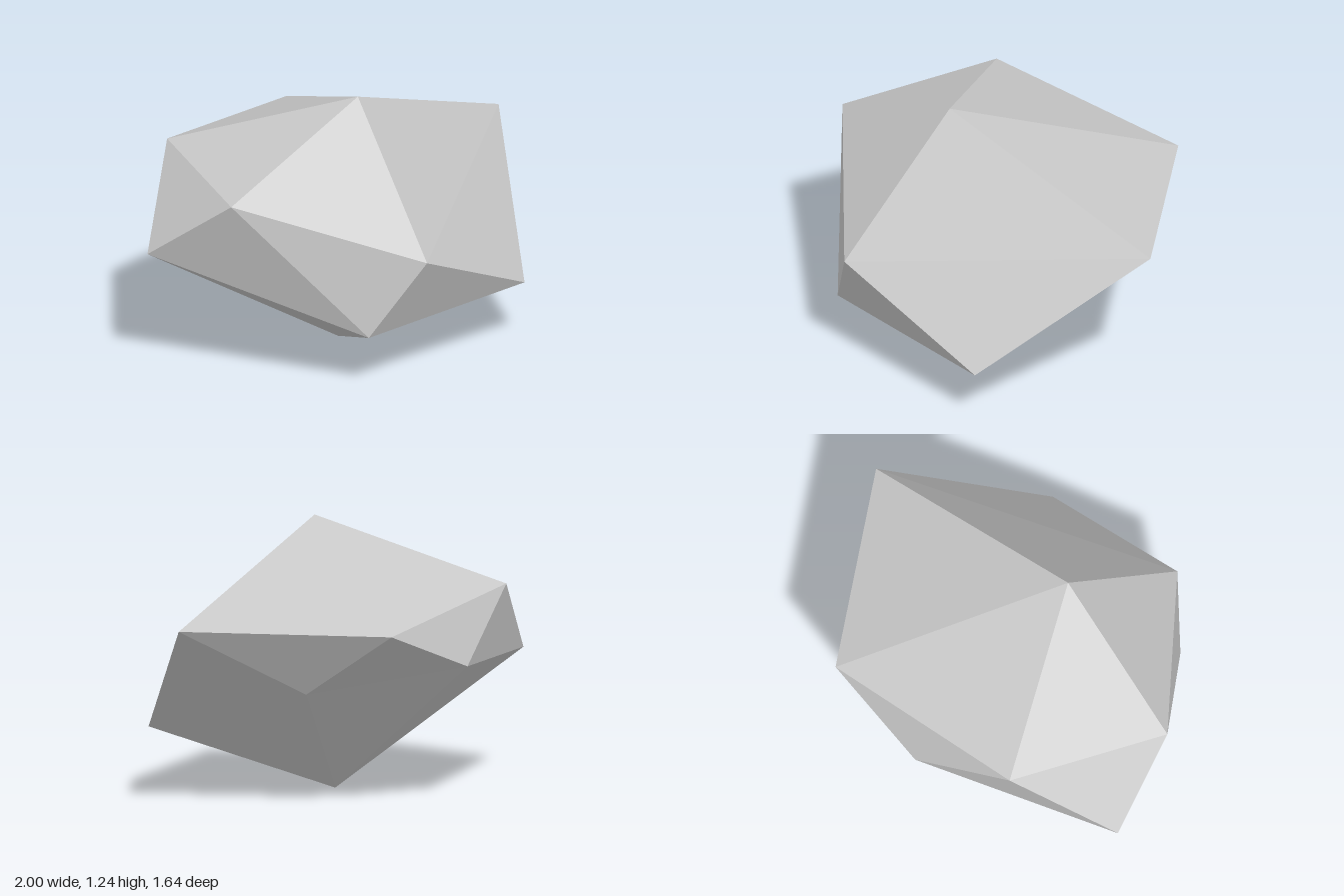
import * as THREE from 'three';

// Angular boulder: an apex and a base point joined by two staggered rings of five corners.
export function createModel() {
  const group = new THREE.Group();
  group.name = 'boulder';

  const stoneGrey = new THREE.MeshStandardMaterial({ color: 0xc8c8c8, flatShading: true });
  stoneGrey.name = 'stone grey';

  const apex = [-0.025, 1.24, 0.245];
  const base = [-0.02, 0, 0.06];
  // Both rings run counter-clockwise seen from above
  const upper = [[-0.775, 0.89, 0.37], [0, 0.61, 0.82], [1, 0.84, -0.215], [0.23, 0.83, -0.82], [-0.665, 0.95, -0.385]];
  const lower = [[-0.245, 0.255, 0.71], [0.69, 0.28, 0.535], [0.44, 0.53, -0.42], [-0.275, 0.635, -0.67], [-1, 0.58, 0]];

  const positions = [];
  const face = (...corners) => corners.forEach((c) => positions.push(...c));
  for (let i = 0; i < 5; i++) {
    const j = (i + 1) % 5;
    face(apex, upper[i], upper[j]); // crown
    face(upper[i], lower[i], upper[j]); // sides
    face(upper[j], lower[i], lower[j]);
    face(base, lower[j], lower[i]); // underside
  }

  const geometry = new THREE.BufferGeometry();
  geometry.setAttribute('position', new THREE.Float32BufferAttribute(positions, 3));
  geometry.computeVertexNormals();

  const rock = new THREE.Mesh(geometry, stoneGrey);
  rock.name = 'rock';
  group.add(rock);
  return group;
}
